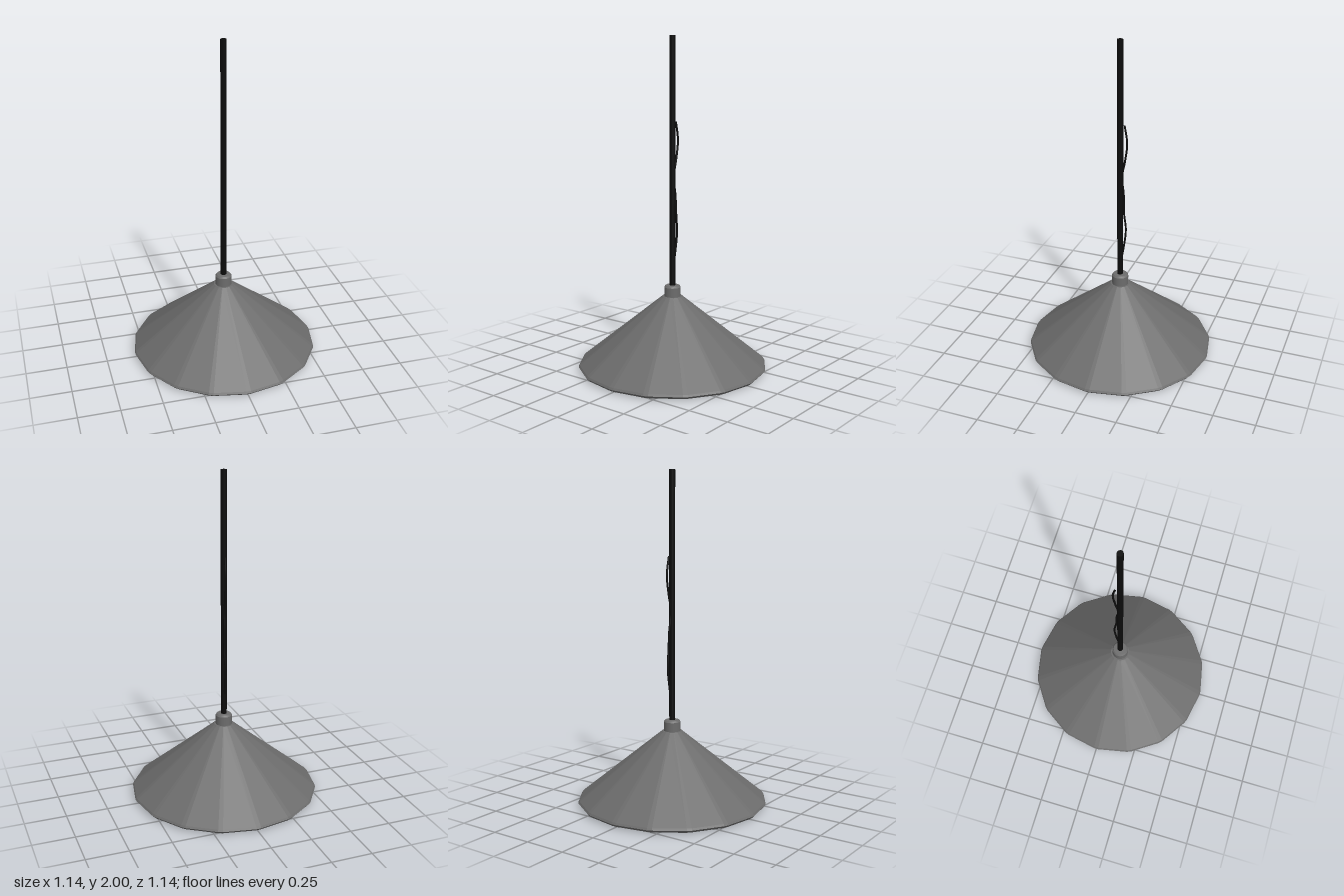
import * as THREE from 'three';

const SIDES = 16;
const grey = new THREE.MeshStandardMaterial({ color: 0x6c6c6c, flatShading: true });
const greySmooth = new THREE.MeshStandardMaterial({ color: 0x6c6c6c });
const black = new THREE.MeshStandardMaterial({ color: 0x0c0c0c });
const copper = new THREE.MeshStandardMaterial({ color: 0xb87a60 });

const toPoints = (pairs) => pairs.map(([r, y]) => new THREE.Vector2(r, y));

function addMesh(group, name, geometry, material) {
  const mesh = new THREE.Mesh(geometry, material);
  mesh.name = name;
  group.add(mesh);
  return mesh;
}

// Lathe with broad flat facets and a narrow bevel at every corner
function facetedLathe(profile, bevel) {
  const geometry = new THREE.LatheGeometry(toPoints(profile), SIDES * 2);
  const pos = geometry.attributes.position;
  const rows = profile.length;
  for (let i = 0; i <= SIDES * 2; i++) {
    const angle = Math.floor(i / 2) * (2 * Math.PI / SIDES) + (i % 2 ? bevel : -bevel);
    for (let j = 0; j < rows; j++) {
      const [r, y] = profile[j];
      pos.setXYZ(i * rows + j, r * Math.sin(angle), y, r * Math.cos(angle));
    }
  }
  geometry.computeVertexNormals();
  return geometry;
}

export function createModel() {
  const lamp = new THREE.Group();
  lamp.name = 'pendantLamp';

  // Shade: inner reflector, folded lip and outer cone in one closed profile
  addMesh(lamp, 'shade', facetedLathe([
    [0, 0.3], [0.08, 0.29], [0.2, 0.2], [0.51, 0.03], [0.51, 0.005],
    [0.54, 0], [0.56, 0.008], [0.572, 0.022], [0.565, 0.033],
    [0.068, 0.44], [0.06, 0.447], [0, 0.447],
  ], 0.025), grey);

  // Collar with a chamfered top
  addMesh(lamp, 'collar', new THREE.LatheGeometry(toPoints([
    [0.05, 0.44], [0.05, 0.44], [0.05, 0.503], [0.05, 0.503],
    [0.042, 0.513], [0.042, 0.513], [0, 0.515],
  ]), 24), greySmooth);

  // Suspension rod
  const rod = addMesh(lamp, 'rod', new THREE.CylinderGeometry(0.018, 0.018, 1.5, 16), black);
  rod.position.y = 1.25;

  // Loose cord wandering along the back of the rod
  const cordPath = new THREE.CatmullRomCurve3([
    [0.004, 1.5, -0.028], [0.006, 1.39, -0.045], [0.004, 1.28, -0.032],
    [0, 1.17, -0.012], [0.004, 1.06, -0.024], [0.008, 0.94, -0.027],
    [0.005, 0.83, -0.038], [0.002, 0.72, -0.026], [0, 0.62, -0.008],
  ].map((p) => new THREE.Vector3(...p)));
  addMesh(lamp, 'cord', new THREE.TubeGeometry(cordPath, 64, 0.006, 8), black);

  // Socket and bulb under the reflector
  const socket = addMesh(lamp, 'socket', new THREE.CylinderGeometry(0.035, 0.035, 0.12, 20), greySmooth);
  socket.position.y = 0.24;
  const bulb = addMesh(lamp, 'bulb', new THREE.SphereGeometry(0.055, 24, 16), copper);
  bulb.position.y = 0.165;

  return lamp;
}
